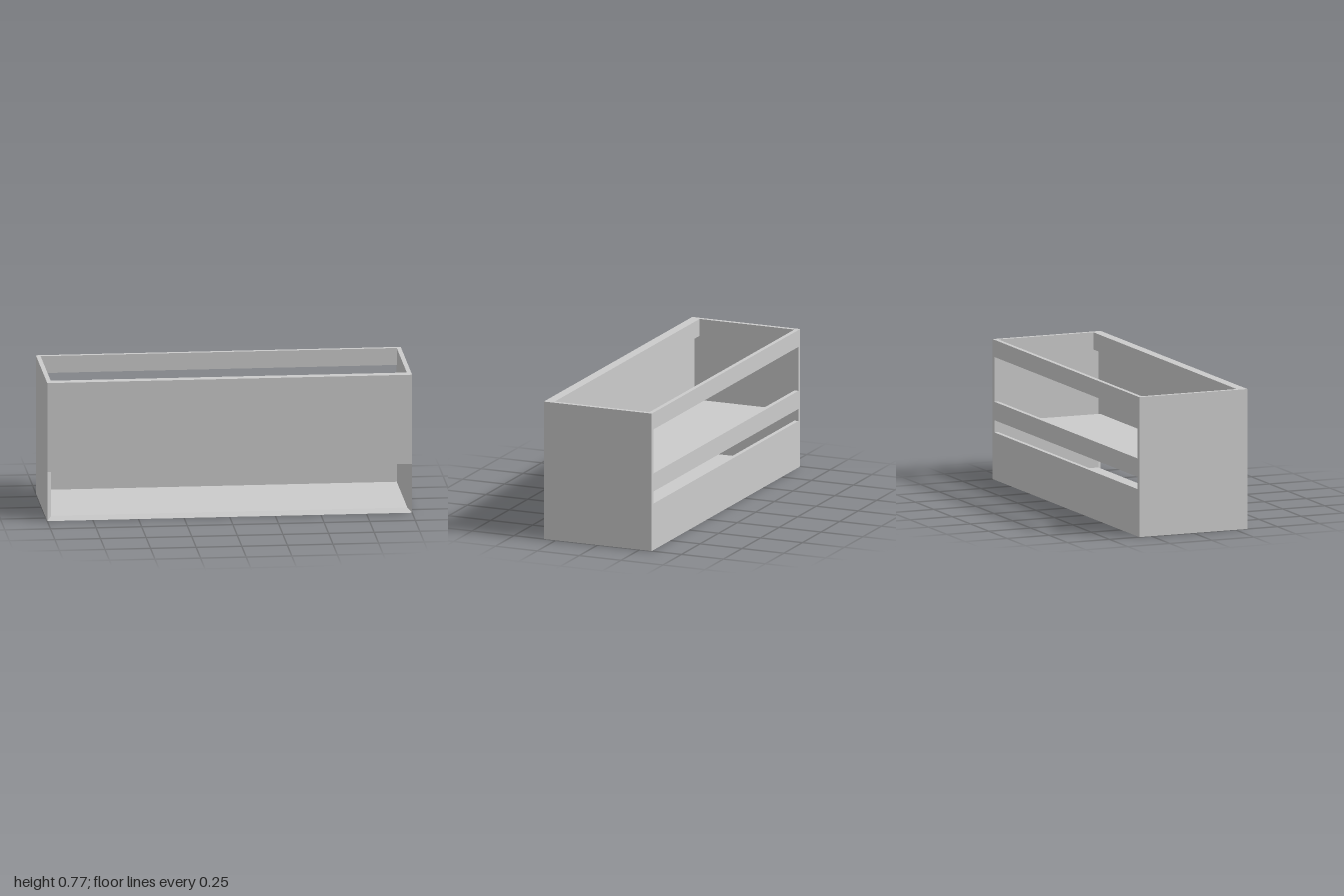
import * as THREE from 'three';

const W = 1, H = 0.775, D = 0.322, T = 0.024; // half width, height, half depth, board thickness
const IN = W - T;
const material = new THREE.MeshStandardMaterial({ color: 0xcccccc, flatShading: true });

export function createModel() {
  const group = new THREE.Group();

  // Board given by its min/max corners; the optional rule moves corners to cut mitres
  function board(name, [x0, x1], [y0, y1], [z0, z1], rule) {
    const geo = new THREE.BoxGeometry(x1 - x0, y1 - y0, z1 - z0);
    geo.translate((x0 + x1) / 2, (y0 + y1) / 2, (z0 + z1) / 2);
    if (rule) {
      const pos = geo.attributes.position, v = new THREE.Vector3();
      for (let i = 0; i < pos.count; i++) {
        rule(v.fromBufferAttribute(pos, i));
        pos.setXYZ(i, v.x, v.y, v.z);
      }
      geo.computeVertexNormals();
    }
    const mesh = new THREE.Mesh(geo, material);
    mesh.name = name;
    group.add(mesh);
  }

  // Side panels, mitred along the front and bottom edges
  for (const [name, s] of [['leftSide', 1], ['rightSide', -1]]) {
    board(name, s > 0 ? [IN, W] : [-W, -IN], [0, H], [-D, D], (v) => {
      if (Math.abs(v.x) > W - T / 2) return;
      if (v.y < H / 2) v.y += T;
      if (v.z > 0) v.z -= T;
    });
  }

  // Floor, mitred at both ends and along the open front
  board('floor', [-W, W], [0, T], [-D, D], (v) => {
    if (v.y < T / 2) return;
    v.x -= Math.sign(v.x) * T;
    if (v.z > 0) v.z -= T;
  });

  // Front panel above the opening, mitred into the sides
  board('frontPanel', [-W, W], [0.275, H], [D - T, D], (v) => {
    if (v.z < D - T / 2) v.x -= Math.sign(v.x) * T;
  });

  // Rails and back boards between the sides
  board('frontRail', [-IN, IN], [0.68, H], [D - 0.054, D - T]);
  const back = [-D, -D + T];
  board('backTopRail', [-IN, IN], [0.68, H], back);
  board('backMiddleRail', [-IN, IN], [0.33, 0.432], back);
  board('backPanel', [-IN, IN], [T, 0.262], back);

  // Inner shelf with a gap at the sides and back
  board('shelf', [-0.953, 0.953], [0.3, 0.325], [-0.194, D - T]);

  return group;
}
